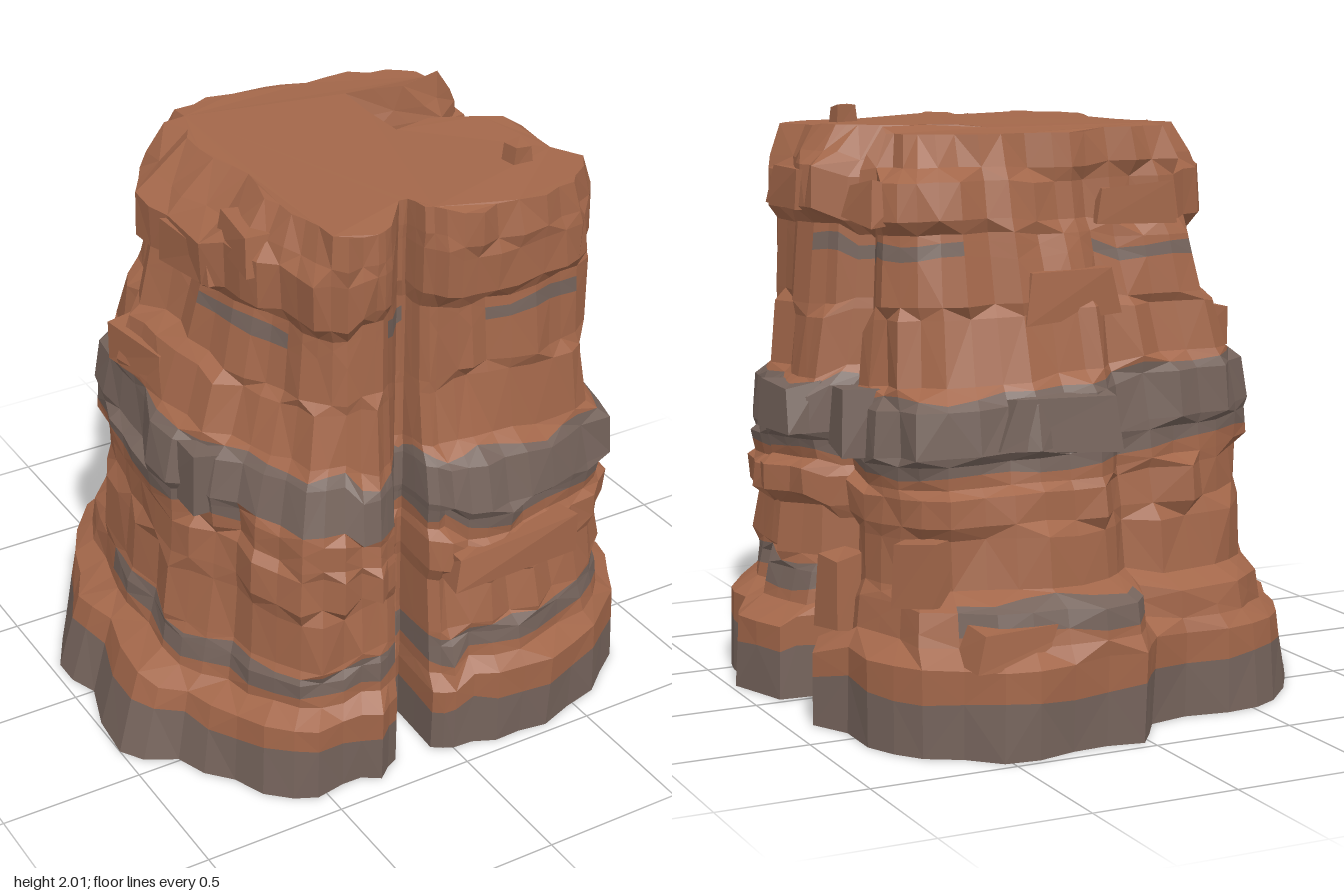
import * as THREE from 'three';

// Outline points, running right -> front -> left -> back: [base x, base z, top x, top z]
const OUTLINE = [
  [.5, .0, .28, .08], [.78, .02, .45, .06], [.93, .03, .62, .13], [1.01, .27, .68, .2], [.92, .38, .67, .38],
  [.9, .55, .68, .55], [.8, .75, .6, .7], [.6, .88, .48, .74], [.35, .97, .3, .74], [.15, .96, .15, .74],
  [.0, .94, .04, .71], [-.07, .88, -.01, .67], [-.06, .65, -.02, .58], [-.1, .66, -.05, .58], [-.21, .88, -.15, .7],
  [-.3, .93, -.22, .74], [-.45, .93, -.32, .72], [-.63, .9, -.4, .66], [-.75, .7, -.43, .52], [-.86, .5, -.47, .38],
  [-1.02, .36, -.48, .2], [-.97, 0, -.5, 0], [-.95, -.2, -.5, -.18], [-.85, -.5, -.46, -.34], [-.62, -.73, -.36, -.45],
  [-.4, -.78, -.2, -.47], [-.1, -.78, -.02, -.47], [.02, -.96, .1, -.49], [.28, -.98, .28, -.48], [.52, -.96, .45, -.47],
  [.75, -.82, .58, -.42], [.83, -.6, .64, -.32], [.91, -.3, .64, -.24], [.82, -.1, .5, -.17], [.5, -.08, .28, -.22],
];
const CLEFT = [0, 1, 11, 12, 13, 14, 33, 34]; // points on cleft walls stay calm
const isButtress = block => block >= 14 && block <= 18; // front pillar left of the cleft

// Ledge profile: [height, taper on right, front, left, back], two rows per rock layer
const PROFILE = [
  [0, 0, .06, 0, .03], [.27, .03, 0, .2, .0],
  [.32, .45, .2, .44, .04], [.42, .55, .25, .47, .08],
  [.47, .58, .27, .5, .36], [.64, .62, .42, .53, .4],
  [.69, .48, .28, .55, .42], [.79, .45, .36, .57, .45],
  [.82, .62, .54, .53, .5], [.9, .56, .5, .52, .52],
  [.93, .45, .45, .52, .52], [1.07, .5, .62, .57, .57],
  [1.13, .72, .85, .63, .64], [1.32, .8, 1.04, .74, .75],
  [1.36, .85, 1.08, .84, .78], [1.6, .9, 1.16, .95, .92],
  [1.655, .68, .98, .82, .98], [1.8, .74, .95, .82, 1.03],
  [1.85, .92, .97, .98, 1.06], [1.95, 1.18, 1.02, 1.22, 1.1],
];
const BAND_EDGES = [.175, .36, .447, .86, 1.1, 1.515, 1.568];

const hash = (a, b) => {
  const s = Math.sin(a * 127.1 + b * 311.7 + 17.3) * 43758.5453;
  return (s - Math.floor(s)) * 2 - 1;
};

// Twice as many columns as outline points
const COLUMNS = OUTLINE.flatMap((p, i) => {
  const q = OUTLINE[(i + 1) % OUTLINE.length];
  const calm = CLEFT.includes(i);
  const calmNext = calm || CLEFT.includes((i + 1) % OUTLINE.length);
  const column = (pt, amp, block) => {
    const len = Math.hypot(pt[0], pt[1]);
    return { p: pt, amp, block, dx: pt[0] / len, dz: pt[1] / len };
  };
  return [
    column(p, calm ? .006 : .032, i),
    column(p.map((v, k) => (v + q[k]) / 2), calmNext ? .006 : .026, i + .5),
  ];
});
const ROWS = [
  ...PROFILE.map(r => ({ s: r[0] })),
  ...BAND_EDGES.map(s => ({ s, edge: true })),
].sort((a, b) => a.s - b.s);

function profileAt(s) {
  let i = 0;
  while (i < PROFILE.length - 2 && PROFILE[i + 1][0] < s) i++;
  const k = (s - PROFILE[i][0]) / (PROFILE[i + 1][0] - PROFILE[i][0]);
  return { i, k, t: [1, 2, 3, 4].map(n => THREE.MathUtils.lerp(PROFILE[i][n], PROFILE[i + 1][n], k)) };
}

// Position of one vertex of the cliff
function cliffPoint(c, row) {
  const { p, amp, block, dx, dz } = COLUMNS[c];
  const wave = row.edge ? .01 * Math.sin(c * 1.3 + row.s * 9) + .004 * hash(c, row.s) : 0;
  const s = row.s + wave;
  const { i, k, t } = profileAt(s);
  let taper = dx * dx * (dx > 0 ? t[0] : t[2]) + dz * dz * (dz > 0 ? t[1] : t[3]);
  if (isButtress(block) && s > .3 && s < 1) taper = Math.min(taper, .2 + .28 * s);
  // each layer of each block steps in or out by its own amount
  const step = n => amp * hash(block, n >> 1) + amp * .3 * hash(block + 50, n);
  const push = THREE.MathUtils.lerp(step(i), step(i + 1), k) - amp * .2;
  // layers dip towards the front right
  const lift = .024 * Math.sin(6 * s + 3 * hash(Math.floor(block / 2), 9)) * Math.min(1, s * 4) * (s > 1.9 ? .5 : 1)
    + (.015 - .03 * (dx + dz)) * Math.sin(Math.PI * s / 1.95) ** 2;
  const x = THREE.MathUtils.lerp(p[0], p[2], taper) + dx * push;
  const z = THREE.MathUtils.lerp(p[1], p[3], taper) + dz * push;
  return new THREE.Vector3(THREE.MathUtils.clamp(x, -1, 1), s + lift, THREE.MathUtils.clamp(z, -.98, .98));
}

// Whether a wall patch belongs to a grey layer; the thinner layers are broken
function isGrey(c, height) {
  const { dx, dz, block } = COLUMNS[c];
  const band = BAND_EDGES.filter(e => e < height).length;
  if (band === 0) return true;
  if (band === 2) return dz > -.2 || (dz < -.8 && dx > -.1 && dx < .5);
  if (band === 4) return !(isButtress(block) && height < .93);
  if (band === 6) return Math.sin(c * .55) + .5 * hash(c, 3) > (dz > .75 ? .45 : -.3);
  return false;
}

function faceted(points) {
  const g = new THREE.BufferGeometry().setFromPoints(points);
  g.computeVertexNormals();
  return g;
}

// Flat cap over a ring, facing up or down
function cap(ring, up) {
  const out = [];
  for (const f of THREE.ShapeUtils.triangulateShape(ring.map(v => new THREE.Vector2(v.x, v.z)), [])) {
    const [a, b, c] = f.map(i => ring[i]);
    const ny = (b.z - a.z) * (c.x - a.x) - (b.x - a.x) * (c.z - a.z);
    out.push(...((ny > 0) === up ? [a, b, c] : [a, c, b]));
  }
  return out;
}

export function createModel() {
  const group = new THREE.Group();
  const sandstone = new THREE.MeshStandardMaterial({ color: 0xa3674a });
  sandstone.name = 'red sandstone';
  const greyRock = new THREE.MeshStandardMaterial({ color: 0x76645c });
  greyRock.name = 'grey rock';
  const add = (name, points, material) => {
    const mesh = new THREE.Mesh(faceted(points), material);
    mesh.name = name;
    group.add(mesh);
  };

  // Cliff walls, sorted into red and grey strata
  const n = COLUMNS.length;
  const rings = ROWS.map(row => COLUMNS.map((_, c) => cliffPoint(c, row)));
  const red = [], grey = [];
  for (let r = 0; r < ROWS.length - 1; r++) {
    const mid = (ROWS[r].s + ROWS[r + 1].s) / 2;
    for (let c = 0; c < n; c++) {
      const d = (c + 1) % n;
      const a = rings[r][c], b = rings[r][d], e = rings[r + 1][c], f = rings[r + 1][d];
      const list = isGrey(c, mid) ? grey : red;
      if ((c + r) % 2) list.push(a, e, b, b, e, f);
      else list.push(a, e, f, a, f, b);
    }
  }
  add('redCliffLayers', red, sandstone);
  add('greyCliffLayers', grey, greyRock);

  // Plateau and underside
  add('plateau', cap(rings[rings.length - 1], true), sandstone);
  add('underside', cap(rings[0], false), greyRock);

  // Rough blocks jutting from the walls: corners are jittered by rule
  const rock = (name, x, y, z, w, h, d, turn = 0, material = sandstone) => {
    const g = new THREE.BoxGeometry(w, h, d).toNonIndexed();
    const pos = g.attributes.position;
    for (let i = 0; i < pos.count; i++) {
      const v = new THREE.Vector3().fromBufferAttribute(pos, i);
      const id = Math.sign(v.x) + 3 * Math.sign(v.y) + 9 * Math.sign(v.z);
      const shrink = v.y > 0 ? .88 : 1;
      const rise = Math.min(.15 * h, .02) * hash(id, y);
      pos.setXYZ(i, v.x * shrink * (1 + .15 * hash(id, x)), v.y + rise, v.z * shrink * (1 + .15 * hash(id, z)));
    }
    g.computeVertexNormals();
    const mesh = new THREE.Mesh(g, material);
    mesh.name = name;
    mesh.position.set(x, y, z);
    mesh.rotation.y = turn;
    group.add(mesh);
  };
  rock('cleftLedge', .33, .715, -.06, .24, 1.37, .2);
  rock('topStone', .46, 1.96, .49, .08, .08, .07, .1);
  rock('frontOverhang', .25, .71, .8, .5, .13, .2, .04);
  rock('rightCrag', .69, 1.73, .32, .15, .15, .26);
  rock('rightCrag', .66, 1.72, -.3, .16, .13, .18, .1);
  rock('leftCrag', -.52, 1.7, .12, .14, .13, .3, .1);
  rock('leftCrag', -.46, 1.83, .35, .14, .12, .22, -.1);
  rock('leftCrag', -.6, 1.25, -.1, .16, .13, .35, .08);
  rock('leftShelf', -.63, 1.02, .3, .17, .2, .3, -.1, greyRock);
  rock('rightShelf', .78, .99, .2, .14, .17, .24, .05, greyRock);
  rock('rightShelf', .74, 1.01, -.28, .14, .22, .2, -.1, greyRock);
  rock('backLedge', .35, .36, -.82, .5, .12, .2, .05);
  rock('backLedge', .62, .55, -.6, .22, .2, .18, .5);
  rock('backCrag', .1, 1.42, -.53, .36, .16, .12, .06);
  rock('backCrag', -.2, 1.7, -.45, .28, .12, .1, -.1);
  rock('backShelf', .2, 1.02, -.66, .4, .18, .12, -.04, greyRock);
  rock('rightFoot', .78, .43, -.24, .12, .24, .14, .2);
  return group;
}
